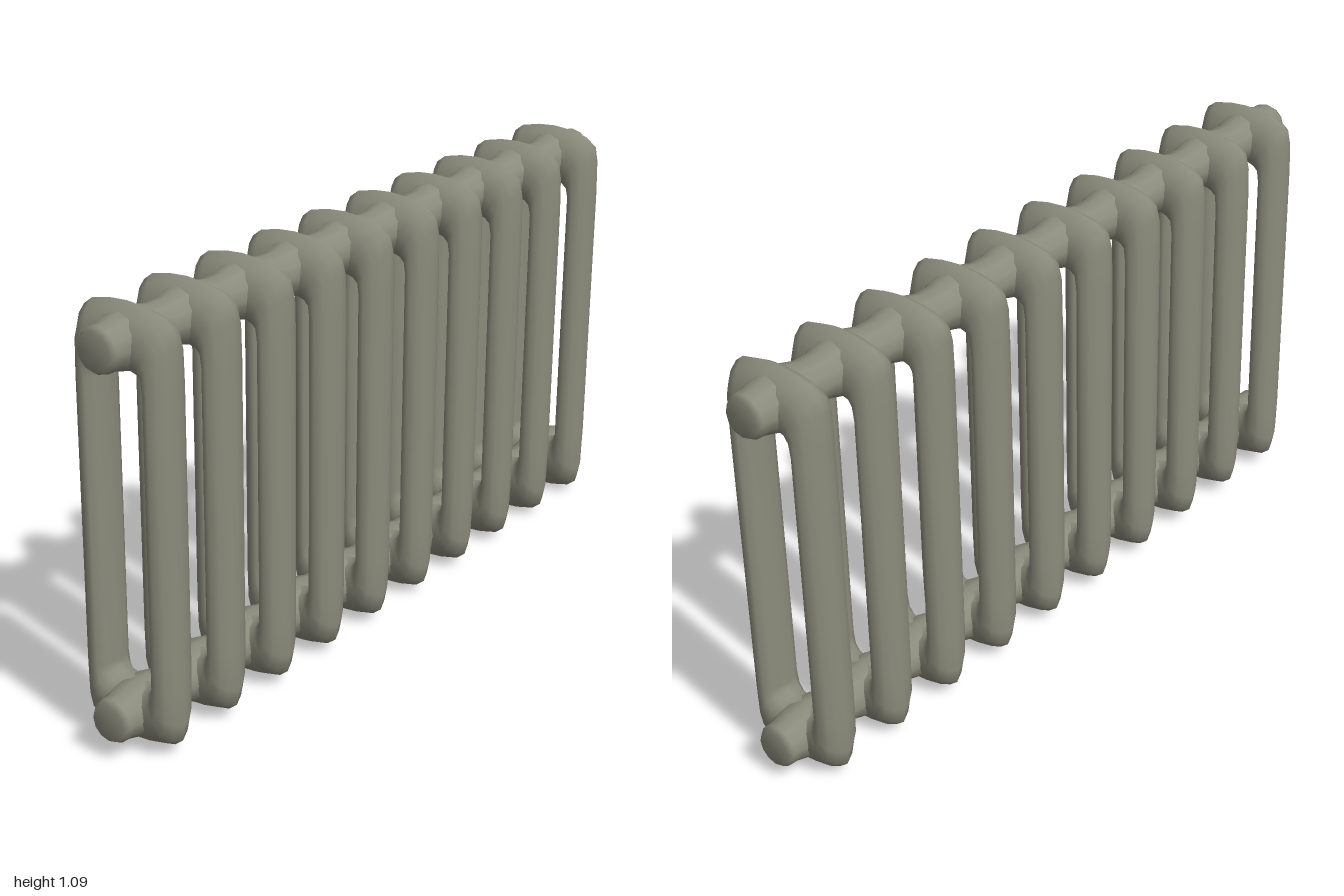
import * as THREE from 'three';

const material = new THREE.MeshStandardMaterial({ color: 0x8b8b7c });

// Upper front quarter of a section's outer and inner outline, as [z, y]
const OUTER = [[0.134, 0], [0.134, 0.36], [0.133, 0.465], [0.126, 0.506], [0.102, 0.525], [0.05, 0.537], [0, 0.541]];
const INNER = [[0.066, 0], [0.066, 0.36], [0.06, 0.373], [0.046, 0.383], [0.03, 0.387], [0.015, 0.387], [0, 0.387]];
// Cross-section of the casting: [depth fraction from outside, half width]
const SECTION = [[0, 0], [0.1, 0.026], [0.25, 0.046], [0.5, 0.06], [0.75, 0.055], [0.92, 0.036], [1, 0]];

// Mirror a quarter outline into a closed loop
function fullLoop(q) {
  const top = [...q, ...q.slice(0, -1).reverse().map(([z, y]) => [-z, y])];
  return [...top, ...top.slice(1, -1).reverse().map(([z, y]) => [z, -y])];
}

// Flattened ring with a ridged, rounded cross-section
function sectionGeometry() {
  const outer = fullLoop(OUTER), inner = fullLoop(INNER);
  const profile = [...SECTION, ...SECTION.slice(1, -1).reverse().map(([u, w]) => [u, -w])];
  const n = outer.length, m = profile.length;
  const positions = [], index = [];
  for (let i = 0; i < n; i++) {
    for (let j = 0; j < m; j++) {
      const [u, w] = profile[j];
      positions.push(w,
        THREE.MathUtils.lerp(outer[i][1], inner[i][1], u),
        THREE.MathUtils.lerp(outer[i][0], inner[i][0], u));
      const a = i * m + j, b = i * m + (j + 1) % m;
      const c = ((i + 1) % n) * m + j, d = ((i + 1) % n) * m + (j + 1) % m;
      index.push(a, b, c, b, d, c);
    }
  }
  const g = new THREE.BufferGeometry();
  g.setAttribute('position', new THREE.Float32BufferAttribute(positions, 3));
  g.setIndex(index);
  g.computeVertexNormals();
  return g;
}

export function createModel() {
  const model = new THREE.Group();
  model.name = 'radiator';
  const body = new THREE.Group();
  body.name = 'radiatorBody';
  body.position.y = 0.55;
  body.rotation.set(0.011, 0, -0.006); // slight lean
  model.add(body);

  const count = 10, pitch = 0.196;
  const centre = (i) => (i - (count - 1) / 2) * pitch;

  // Column sections
  const ring = sectionGeometry();
  for (let i = 0; i < count; i++) {
    const section = new THREE.Mesh(ring, material);
    section.name = `section${i + 1}`;
    section.position.x = centre(i);
    body.add(section);
  }

  // Header pipes, swelling where they meet each section
  const pts = [[0, -0.994], [0.046, -0.994], [0.055, -0.98]];
  for (let i = 0; i < count; i++) {
    const x = centre(i);
    pts.push([0.056, x - 0.075], [0.067, x - 0.035], [0.069, x], [0.067, x + 0.035], [0.056, x + 0.075]);
  }
  pts.push([0.055, 0.98], [0.046, 0.994], [0, 0.994]);
  const pipe = new THREE.LatheGeometry(pts.map(([r, x]) => new THREE.Vector2(r, x)), 12);
  pipe.rotateZ(-Math.PI / 2);
  for (const [name, y] of [['upperPipe', 0.456], ['lowerPipe', -0.452]]) {
    const mesh = new THREE.Mesh(pipe, material);
    mesh.name = name;
    mesh.position.y = y;
    body.add(mesh);
  }
  return model;
}
